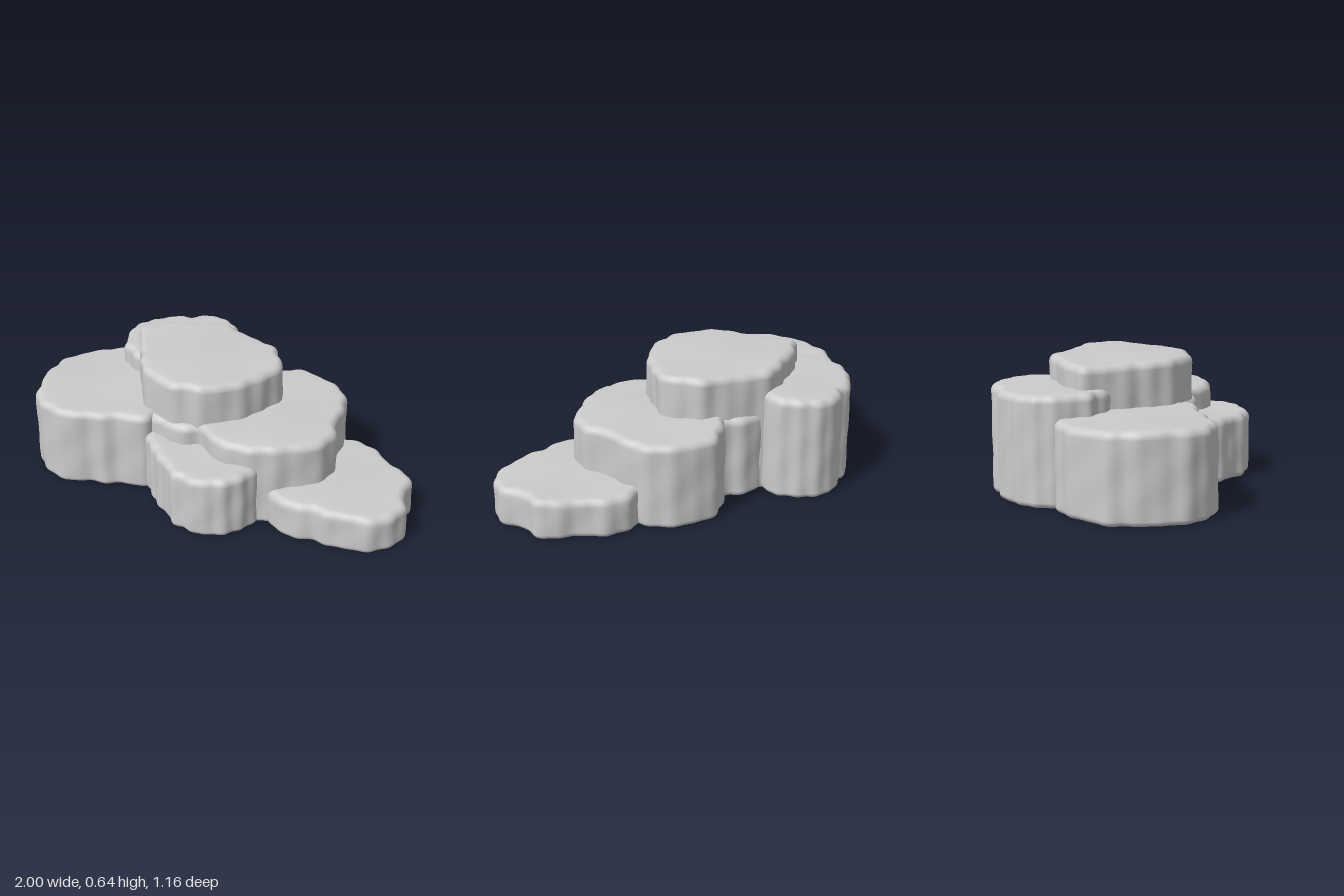
import * as THREE from 'three';

const N = 132; // points round each outline

// Rounded stone slab from a few clockwise [x, z] corners, seen from above
function slabGeometry(corners, height, phase) {
  const curve = new THREE.CatmullRomCurve3(corners.map(([x, z]) => new THREE.Vector3(x, 0, z)), true);
  const pts = curve.getSpacedPoints(N).slice(0, N);
  const centre = pts.reduce((s, p) => s.add(p), new THREE.Vector3()).divideScalar(N);
  const normals = pts.map((p, i) => {
    const t = pts[(i + 4) % N].clone().sub(pts[(i + N - 4) % N]).normalize();
    return new THREE.Vector3(t.z, 0, -t.x);
  });

  // rings: [y, inset, blend towards the centre]
  const rings = [1, 0.5, 0].map((s) => [0.006, 0.03, s]);
  const arc = (cy, r, from, to) => {
    for (let k = 0; k <= 5; k++) {
      const a = from + (to - from) * k / 5;
      rings.push([cy + r * Math.sin(a), r * (1 - Math.cos(a)), 0]);
    }
  };
  arc(0.035, 0.028, -Math.PI / 2 + 0.2, 0);
  for (let k = 1; k < 8; k++) rings.push([0.035 + (height - 0.075) * k / 8, 0, 0]);
  arc(height - 0.04, 0.04, 0, Math.PI / 2 - 0.15);
  for (const s of [0.1, 0.25, 0.45, 0.7, 1]) rings.push([height, 0.04, s]);

  const pos = [], index = [];
  for (const [y, inset, s] of rings) {
    pts.forEach((p, j) => {
      // uneven vertical scallops with slight weathering on the walls, gentle swell on top
      const a = j / N * Math.PI * 2;
      const scallop = 0.007 * Math.sin(17 * a + phase) * Math.cos(3 * a + phase) + 0.004 * Math.sin(11 * a - phase);
      const wear = 0.004 * Math.sin(8 * a + y * 12) * Math.cos(y * 14 + phase);
      const q = p.clone().addScaledVector(normals[j], scallop + wear - inset).lerp(centre, s);
      const swell = y > height - 0.05 ? 0.006 * Math.sin(q.x * 9 + phase) * Math.cos(q.z * 8) : 0;
      pos.push(q.x, y + swell, q.z);
    });
  }
  for (let i = 0; i < rings.length - 1; i++) {
    for (let j = 0; j < N; j++) {
      const a = i * N + j, b = i * N + (j + 1) % N;
      index.push(a, a + N, b + N, a, b + N, b);
    }
  }
  const geo = new THREE.BufferGeometry();
  geo.setAttribute('position', new THREE.Float32BufferAttribute(pos, 3));
  geo.setIndex(index);
  geo.computeVertexNormals();
  return geo;
}

export function createModel() {
  const group = new THREE.Group();
  group.name = 'steppedRock';
  const material = new THREE.MeshStandardMaterial({ color: 0xcccccc });
  const addSlab = (name, height, corners) => {
    const mesh = new THREE.Mesh(slabGeometry(corners, height, group.children.length * 1.7), material);
    mesh.name = name;
    group.add(mesh);
  };

  // terraces, overlapping round the tall middle one
  addSlab('frontRightTerrace', 0.43, [[-0.99, 0.22], [-0.92, -0.03], [-0.78, -0.15], [-0.4, -0.1],
    [-0.24, 0.32], [-0.4, 0.43], [-0.63, 0.57], [-0.82, 0.53], [-0.93, 0.37]]);
  addSlab('backRightTerrace', 0.53, [[-0.54, -0.58], [-0.39, -0.54], [-0.29, -0.42], [-0.4, -0.05],
    [-0.62, 0.03], [-0.77, -0.08], [-0.83, -0.23], [-0.77, -0.4], [-0.66, -0.5]]);
  addSlab('topTerrace', 0.645, [[-0.33, -0.37], [-0.13, -0.36], [0.02, -0.34], [0.16, -0.23],
    [0.15, -0.01], [0.02, 0.21], [-0.17, 0.28], [-0.32, 0.25], [-0.53, 0.06], [-0.64, -0.08], [-0.52, -0.23]]);
  addSlab('leftTerrace', 0.44, [[-0.07, -0.38], [0.03, -0.52], [0.17, -0.55], [0.37, -0.49],
    [0.5, -0.24], [0.57, -0.07], [0.35, 0.22], [0.15, 0.27], [-0.02, 0.2], [-0.15, -0.2]]);
  addSlab('frontTerrace', 0.33, [[-0.25, 0.1], [0.2, 0.05], [0.36, 0.22], [0.31, 0.4],
    [0.15, 0.49], [-0.12, 0.41], [-0.27, 0.3]]);
  addSlab('lowLeftTerrace', 0.21, [[0.42, -0.45], [0.6, -0.47], [0.72, -0.41], [0.85, -0.38],
    [0.93, -0.22], [0.99, -0.12], [0.94, 0.04], [0.65, 0.17], [0.45, 0.2], [0.25, -0.1]]);

  // rock showing in the gaps between the terraces
  addSlab('core', 0.43, [[-0.36, -0.34], [-0.13, -0.39], [0.05, -0.3], [0.03, 0.22], [-0.22, 0.3], [-0.55, 0]]);
  return group;
}
